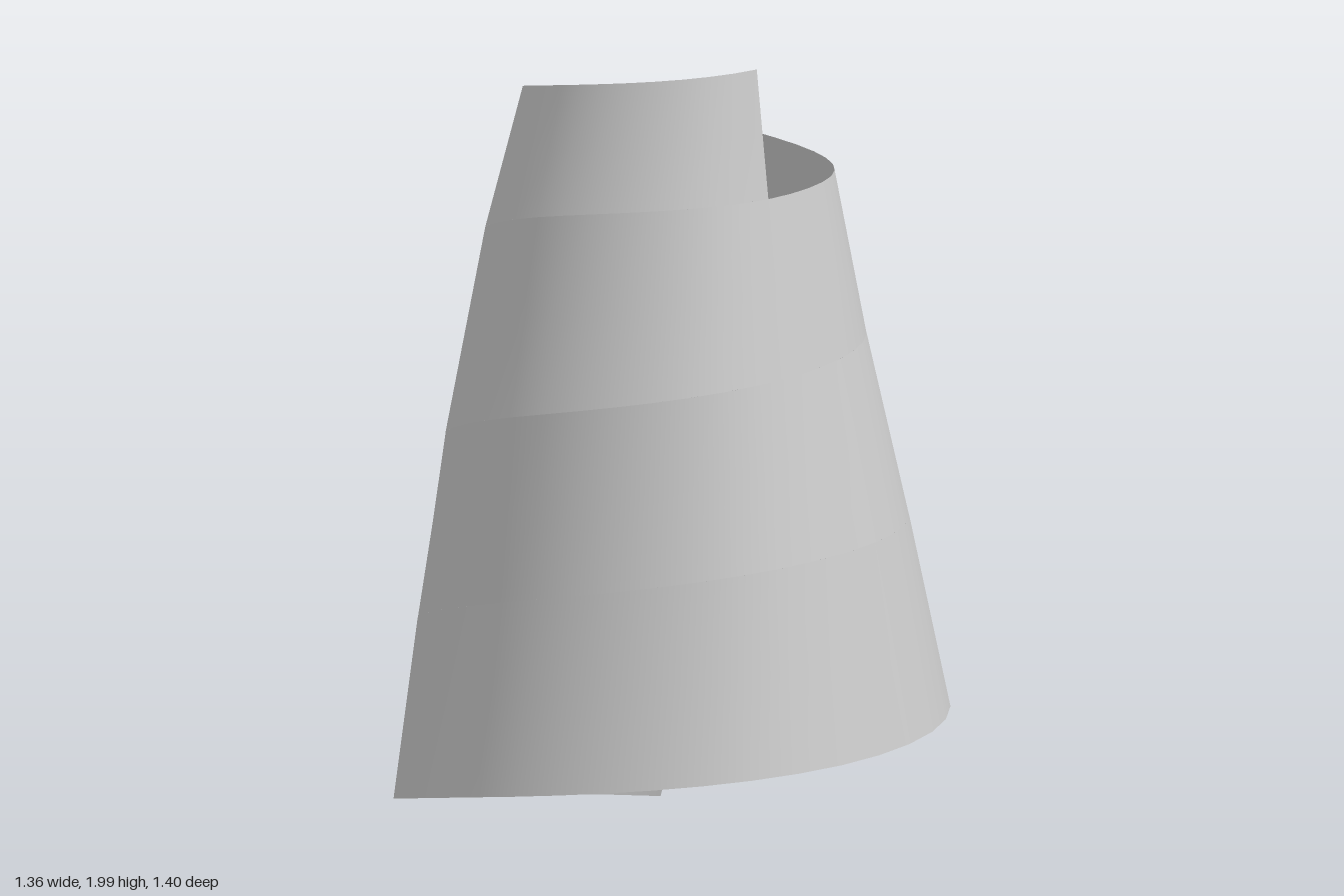
import * as THREE from 'three';

// Seam of the coiled strip: [radius, height] at every quarter turn
const SEAM = [
  [0.735, -0.03], [0.70, 0.04], [0.68, 0.20], [0.70, 0.30],
  [0.68, 0.40], [0.65, 0.48], [0.60, 0.68], [0.60, 0.80],
  [0.58, 0.85], [0.56, 0.94], [0.55, 1.14], [0.50, 1.25],
  [0.475, 1.33], [0.46, 1.46], [0.455, 1.63], [0.415, 1.68],
  [0.40, 1.72], [0.365, 1.85], [0.37, 1.95], [0.37, 2.00],
];
const curve = new THREE.CatmullRomCurve3(
  SEAM.map(([r, y]) => new THREE.Vector3(r, y, 0)), false, 'catmullrom', 0.5);

// Point on the seam at an angle in degrees, turning from +x towards -z
function seamPoint(deg) {
  const p = curve.getPoint(deg / 90 / (SEAM.length - 1));
  const a = THREE.MathUtils.degToRad(deg);
  return [p.x * Math.cos(a), p.y, -p.x * Math.sin(a)];
}

// Strip whose upper edge meets the lower edge of the next turn
function coilGeometry(start, end, segments, rows) {
  const positions = [], indices = [];
  for (let i = 0; i <= segments; i++) {
    const deg = start + (end - start) * i / segments;
    // the starting end is cut at a slant
    const slant = 9 * Math.max(0, 1 - (deg - start) / 70);
    const low = new THREE.Vector3(...seamPoint(deg));
    const high = new THREE.Vector3(...seamPoint(deg + 360 - slant));
    for (let j = 0; j <= rows; j++) {
      positions.push(...low.clone().lerp(high, j / rows).toArray());
      if (i < segments && j < rows) {
        const a = i * (rows + 1) + j, b = a + rows + 1;
        indices.push(a, b, b + 1, a, b + 1, a + 1);
      }
    }
  }
  const geometry = new THREE.BufferGeometry();
  geometry.setAttribute('position', new THREE.Float32BufferAttribute(positions, 3));
  geometry.setIndex(indices);
  geometry.computeVertexNormals();
  return geometry;
}

export function createModel() {
  const group = new THREE.Group();
  group.name = 'coiledCone';
  const material = new THREE.MeshStandardMaterial({ color: 0xcccccc, side: THREE.DoubleSide });
  const strip = new THREE.Mesh(coilGeometry(44, 1337.5, 126, 2), material);
  strip.name = 'spiralStrip';
  group.add(strip);
  return group;
}
